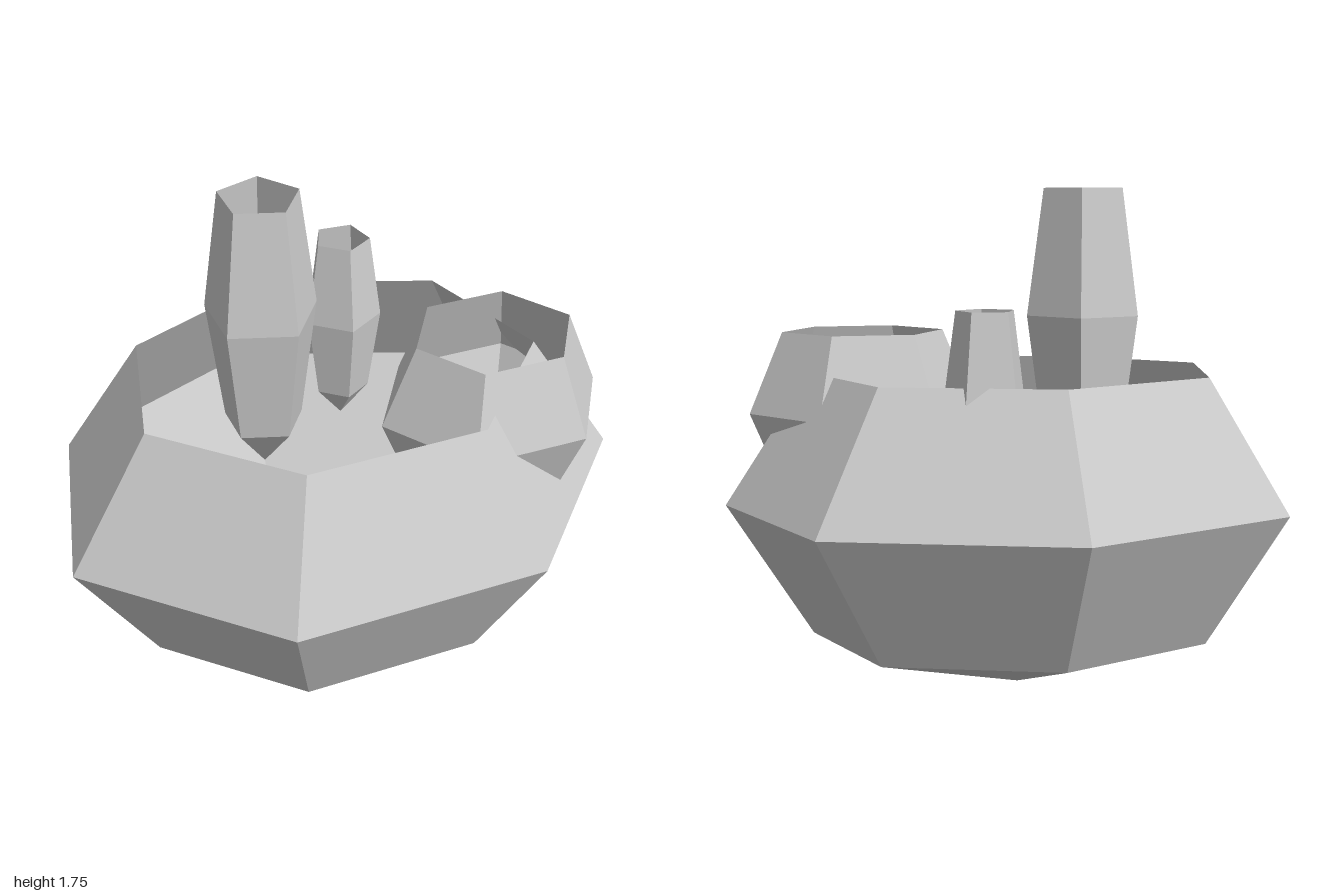
import * as THREE from 'three';

// Unit open bowl: pole at the bottom, rings at 45 degree steps, open rim on top.
function openBowl(sides, phiStart) {
  const points = [180, 135, 90, 45].map((deg) => {
    const a = THREE.MathUtils.degToRad(deg);
    return new THREE.Vector2(deg === 180 ? 0 : Math.sin(a), Math.cos(a));
  });
  return new THREE.LatheGeometry(points, sides, phiStart);
}

export function createModel() {
  const stone = new THREE.MeshStandardMaterial({
    color: 0xcccccc, flatShading: true, side: THREE.DoubleSide,
  });
  stone.name = 'light grey';

  const group = new THREE.Group();
  group.name = 'bowlCluster';

  const parts = [
    // large seven-sided bowl
    { name: 'mainBowl', sides: 7, turn: Math.PI + 0.023, at: [-0.006, 0.655, 0.035], size: [1.03, 0.655, 0.857] },
    // six-sided cup sunk through the bowl wall
    { name: 'sideCup', sides: 6, turn: Math.PI / 2, at: [0.505, 0.97, 0.24], size: [0.405, 0.403, 0.37] },
    // tall and short five-sided tubes standing inside
    { name: 'tallTube', sides: 5, turn: Math.PI / 2, at: [-0.215, 1.32, -0.068], size: [0.2, 0.615, 0.2] },
    { name: 'shortTube', sides: 5, turn: 1.18, at: [0.2, 1.05, -0.374], size: [0.143, 0.438, 0.143] },
  ];

  for (const { name, sides, turn, at, size } of parts) {
    const geometry = openBowl(sides, turn).scale(...size);
    const mesh = new THREE.Mesh(geometry, stone);
    mesh.name = name;
    mesh.position.set(...at);
    group.add(mesh);
  }
  return group;
}
